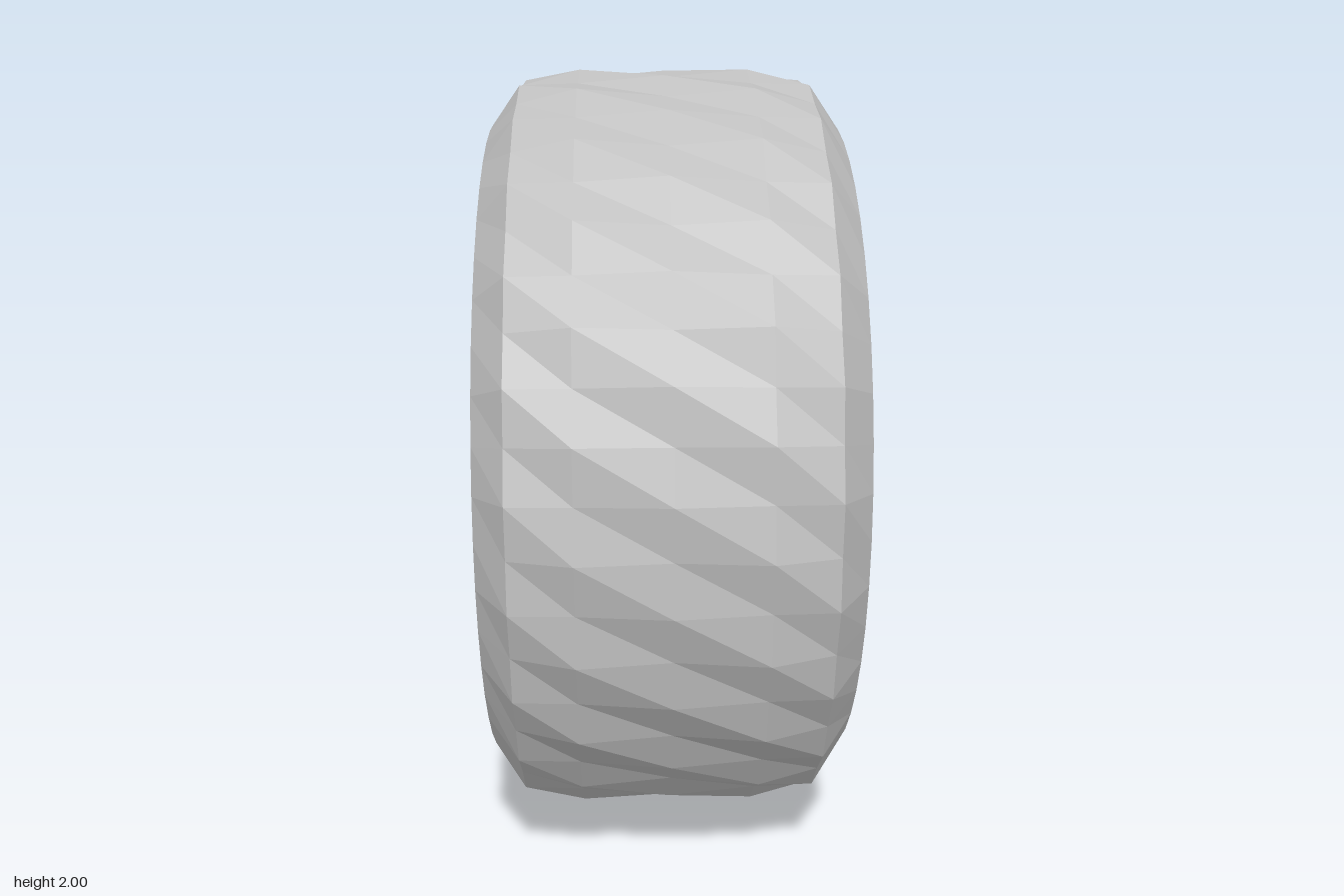
import * as THREE from 'three';

const grey = new THREE.MeshStandardMaterial({ color: 0xc0c0c0 });
grey.name = 'light grey';

// One flat normal per face
function faceted(geometry) {
  const flat = geometry.toNonIndexed();
  flat.computeVertexNormals();
  return flat;
}

function add(parent, name, geometry) {
  const mesh = new THREE.Mesh(faceted(geometry), grey);
  mesh.name = name;
  parent.add(mesh);
  return mesh;
}

// Revolves [radius, x] pairs around the x axis
function revolve(profile, segments) {
  const points = profile.map(([r, x]) => new THREE.Vector2(r, x));
  return new THREE.LatheGeometry(points, segments).rotateZ(-Math.PI / 2);
}

function disc(radius, depth, sides) {
  return new THREE.CylinderGeometry(radius, radius, depth, sides).rotateZ(-Math.PI / 2);
}

// Open tyre shell whose tread blocks run diagonally around it
function tyreGeometry() {
  const segments = 48;
  const profile = [
    [0.6, -0.35], [0.74, -0.45], [0.86, -0.45], [0.975, -0.37], [1, -0.22], [1, 0],
    [1, 0.22], [0.975, 0.37], [0.86, 0.45], [0.74, 0.45], [0.6, 0.35],
  ];
  const rows = profile.length;
  const geometry = revolve(profile, segments);
  const position = geometry.attributes.position;
  const index = [];
  for (let i = 0; i <= segments; i++) {
    for (let j = 0; j < rows; j++) {
      const a = i * rows + j;
      // Every other tread vertex is sunk, shifting by one step per row
      if (j >= 3 && j <= 7 && (i + j) % 2) {
        const scale = j === 3 || j === 7 ? 0.985 : 0.98;
        position.setY(a, position.getY(a) * scale);
        position.setZ(a, position.getZ(a) * scale);
      }
      // Split each quad along the direction of the tread
      if (i < segments && j < rows - 1) {
        const b = a + rows;
        index.push(a, b, b + 1, a, b + 1, a + 1);
      }
    }
  }
  geometry.setIndex(index);
  return geometry;
}

export function createModel() {
  const wheel = new THREE.Group();
  wheel.name = 'wheel';

  add(wheel, 'tyre', tyreGeometry());

  // Rim barrel with a bevelled lip at each end
  add(wheel, 'rim', revolve([
    [0.59, -0.41], [0.59, 0.41], [0.56, 0.41], [0.53, 0.36],
    [0.53, -0.36], [0.56, -0.41], [0.59, -0.41],
  ], 40));

  for (const side of [1, -1]) {
    const face = new THREE.Group();
    face.name = side > 0 ? 'leftFace' : 'rightFace';
    wheel.add(face);

    add(face, 'brakeDisc', disc(0.4, 0.03, 48)).position.x = side * 0.32;
    add(face, 'hub', disc(0.185, 0.12, 40)).position.x = side * 0.39;

    for (let k = 0; k < 5; k++) {
      const step = (k * Math.PI * 2) / 5;

      // Six-sided spoke from hub to rim
      const angle = step + Math.PI / 15;
      const spoke = add(face, 'spoke', new THREE.CylinderGeometry(0.05, 0.05, 0.39, 6));
      spoke.position.set(side * 0.4, 0.34 * Math.sin(angle), 0.34 * Math.cos(angle));
      spoke.rotation.x = Math.PI / 2 - angle;

      // Hexagonal wheel bolt
      const bolt = add(face, 'bolt', disc(0.023, 0.04, 6));
      bolt.position.set(side * 0.46, 0.115 * Math.sin(step), 0.115 * Math.cos(step));
    }
  }

  wheel.position.y = 1;
  const model = new THREE.Group();
  model.name = 'wheelModel';
  model.add(wheel);
  return model;
}
